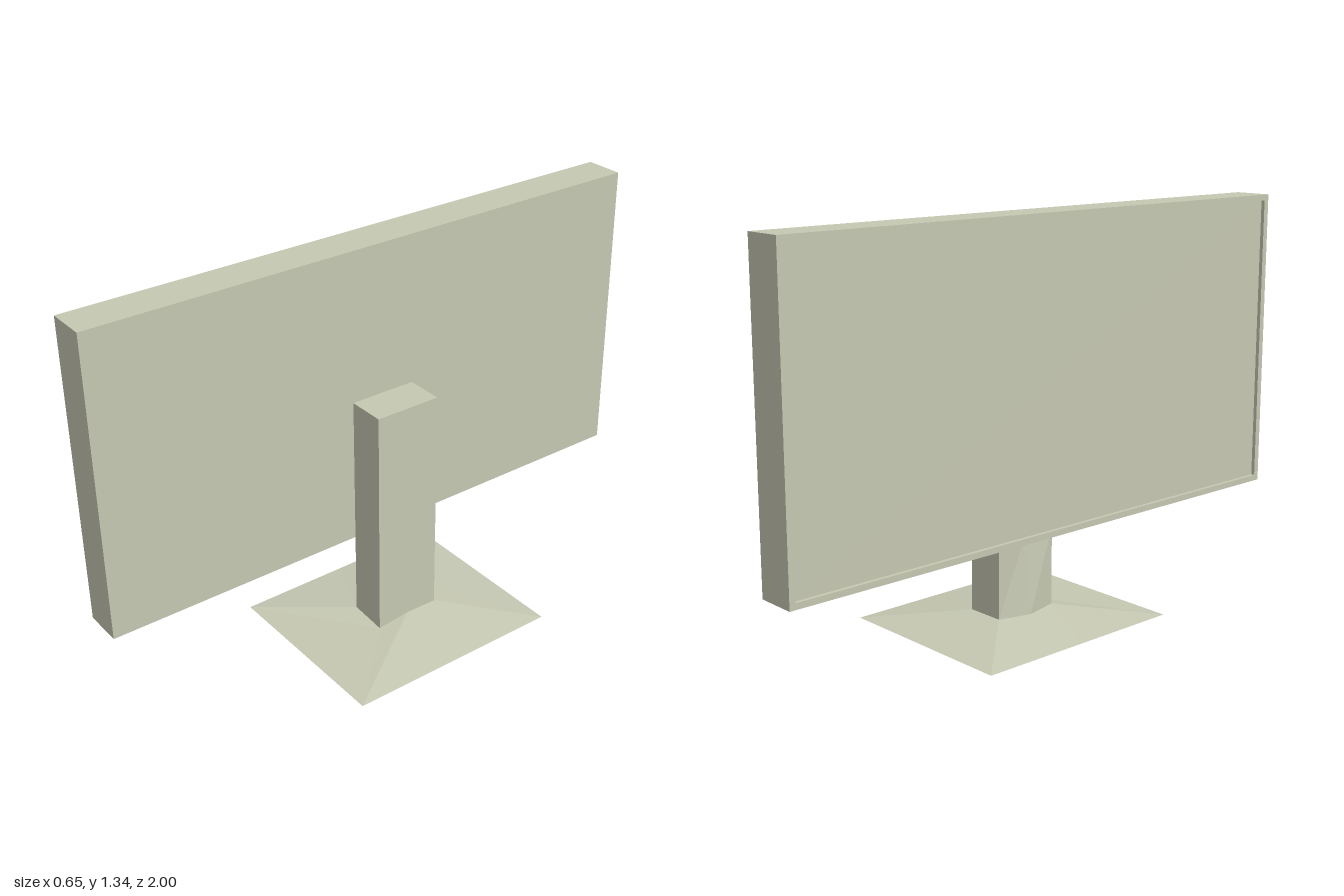
import * as THREE from 'three';

// Skin a series of matching closed rings (counter-clockwise seen from the last one).
function loft(rings, capStart = true, capEnd = true) {
  const pos = [];
  const tri = (a, b, c) => pos.push(...a, ...b, ...c);
  const n = rings[0].length;
  for (let i = 0; i + 1 < rings.length; i++) {
    for (let j = 0; j < n; j++) {
      const k = (j + 1) % n;
      tri(rings[i][j], rings[i][k], rings[i + 1][k]);
      tri(rings[i][j], rings[i + 1][k], rings[i + 1][j]);
    }
  }
  const last = rings[rings.length - 1];
  for (let j = 1; j + 1 < n; j++) {
    if (capStart) tri(rings[0][0], rings[0][j + 1], rings[0][j]);
    if (capEnd) tri(last[0], last[j], last[j + 1]);
  }
  const g = new THREE.BufferGeometry();
  g.setAttribute('position', new THREE.Float32BufferAttribute(pos, 3));
  g.computeVertexNormals();
  return g;
}

export function createModel() {
  const model = new THREE.Group();
  const shell = new THREE.MeshStandardMaterial({ color: 0xc5c8b2 });
  shell.name = 'paleOliveGrey';

  const add = (name, geometry) => {
    const mesh = new THREE.Mesh(geometry, shell);
    mesh.name = name;
    model.add(mesh);
  };

  // Display housing: the screen side faces -x, with a thin bezel and recess
  const rect = (x, inset) => [[-1, 0.32], [1, 0.32], [1, 1.335], [-1, 1.335]].map(([z, y]) =>
    [x, y + (y < 1 ? inset : -inset), z - Math.sign(z) * inset]);
  const screenRing = rect(-0.187, 0.02);
  add('displayHousing', loft(
    [rect(-0.067, 0), rect(-0.2, 0), rect(-0.2, 0.02), screenRing], true, false));
  add('screen', loft([screenRing]  , false, true));

  // Six-point rings shared by stand and base: corners plus front and back middles
  const zFront = 0.107, zBack = -0.125, zMid = -0.01;
  const ring = (heights, ridgeX) => [
    [0.065, heights[0], zFront], [0.065, heights[1], zMid], [0.065, heights[2], zBack],
    [-0.066, heights[3], zBack], [ridgeX, heights[4], zMid], [-0.066, heights[5], zFront],
  ];
  const foot = ring([0.024, 0.037, 0.035, 0.036, 0.033, 0.034], -0.092);

  // Upright post with a low ridge on the screen side and a slightly dipped top
  add('standPost', loft([
    foot,
    ring([0.3, 0.3, 0.3, 0.3, 0.3, 0.3], -0.067),
    ring([0.825, 0.814, 0.825, 0.825, 0.825, 0.825], -0.067),
  ], false, true));

  // Shallow pyramid base rising to the foot of the post
  const ground = [
    [0.325, 0, 0.371], [0.325, 0, zMid], [0.325, 0, -0.387],
    [-0.325, 0, -0.387], [-0.325, 0, zMid], [-0.325, 0, 0.371],
  ];
  add('standBase', loft([ground, foot], true, false));

  return model;
}
